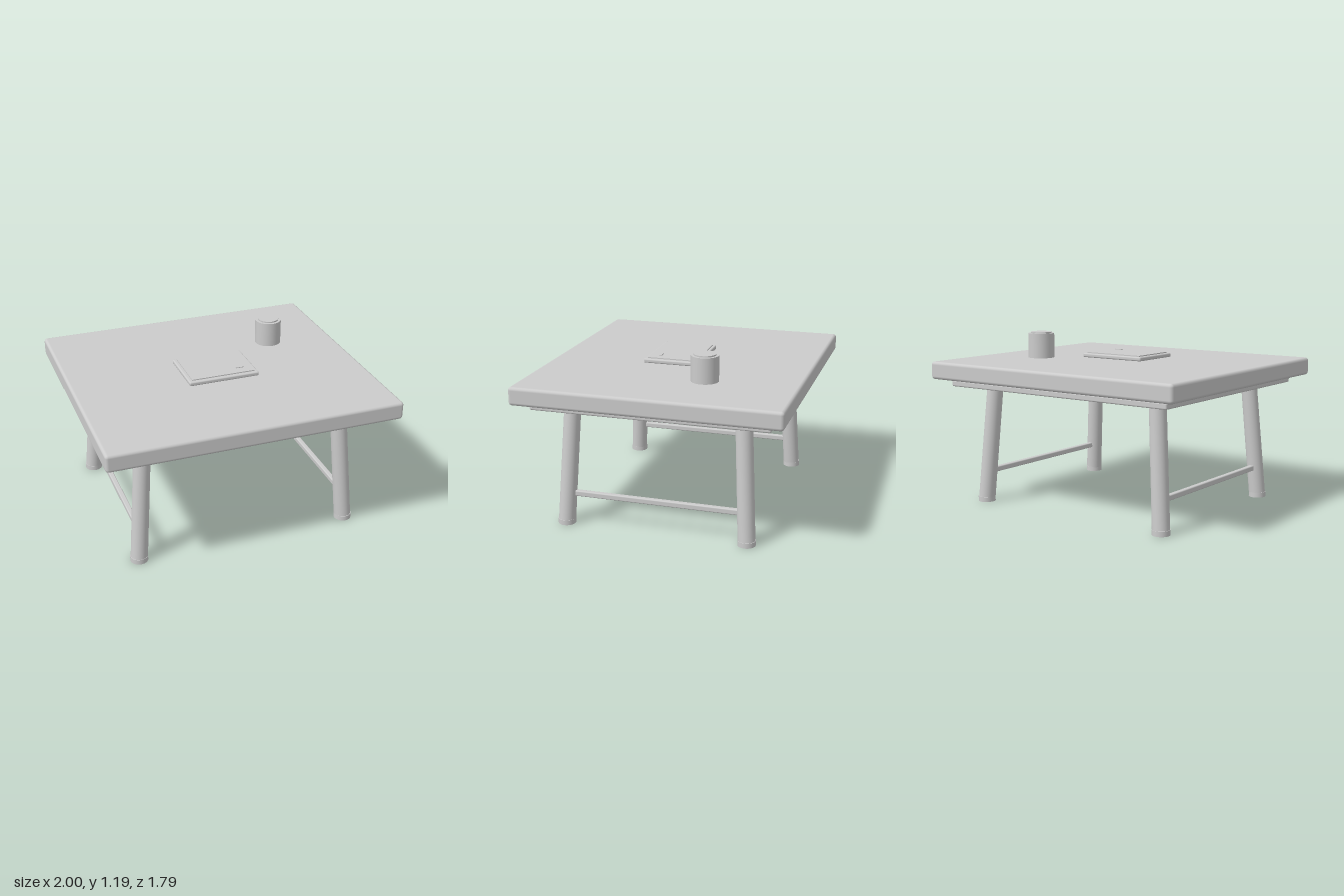
import * as THREE from 'three';
import { RoundedBoxGeometry } from 'three/addons/geometries/RoundedBoxGeometry.js';

export function createModel() {
  const model = new THREE.Group();
  model.name = 'table';
  const grey = new THREE.MeshStandardMaterial({ color: 0xcccccc });
  grey.name = 'plain grey';

  function add(name, geometry, x, y, z) {
    const mesh = new THREE.Mesh(geometry, grey);
    mesh.name = name;
    mesh.position.set(x, y, z);
    model.add(mesh);
    return mesh;
  }
  // Softly bevelled block spanning y0 to y1
  function block(name, w, d, y0, y1, radius, x = 0, z = 0) {
    return add(name, new RoundedBoxGeometry(w, y1 - y0, d, 2, radius), x, (y0 + y1) / 2, z);
  }
  // Upright disc or cylinder spanning y0 to y1
  function disc(name, r, y0, y1, x, z) {
    return add(name, new THREE.CylinderGeometry(r, r, y1 - y0, 32), x, (y0 + y1) / 2, z);
  }

  // Table top and the plate below it
  block('tableTop', 2, 1.786, 0.88, 1.003, 0.022);
  block('underPlate', 1.79, 1.59, 0.828, 0.87, 0.01);

  // Splayed legs with upright feet
  const up = new THREE.Vector3(0, 1, 0);
  for (const sx of [-1, 1]) {
    for (const sz of [-1, 1]) {
      const foot = new THREE.Vector3(sx * 0.748, 0.01, sz * 0.624);
      const head = new THREE.Vector3(sx * 0.685, 0.845, sz * 0.578);
      const axis = head.clone().sub(foot);
      const middle = foot.clone().add(head).multiplyScalar(0.5);
      const leg = add('leg', new THREE.CylinderGeometry(0.056, 0.058, axis.length(), 32),
        middle.x, middle.y, middle.z);
      leg.quaternion.setFromUnitVectors(up, axis.normalize());
      disc('foot', 0.06, 0, 0.035, sx * 0.748, sz * 0.624);
    }
    // Stretcher between front and back leg
    block('stretcher', 0.036, 1.17, 0.198, 0.236, 0.008, sx * 0.733);
  }

  // Book with a raised cover panel and a small mark
  block('bookBody', 0.495, 0.38, 1.016, 1.045, 0.01, 0, 0.045);
  add('bookPanel', new THREE.BoxGeometry(0.446, 0.012, 0.335), 0, 1.046, 0.043);
  add('bookMark', new THREE.BoxGeometry(0.06, 0.006, 0.014), 0.143, 1.054, 0.14);

  // Cup with an inset lid
  disc('cup', 0.092, 1.01, 1.183, 0.52, -0.275);
  disc('cupLid', 0.073, 1.18, 1.192, 0.52, -0.275);

  return model;
}
